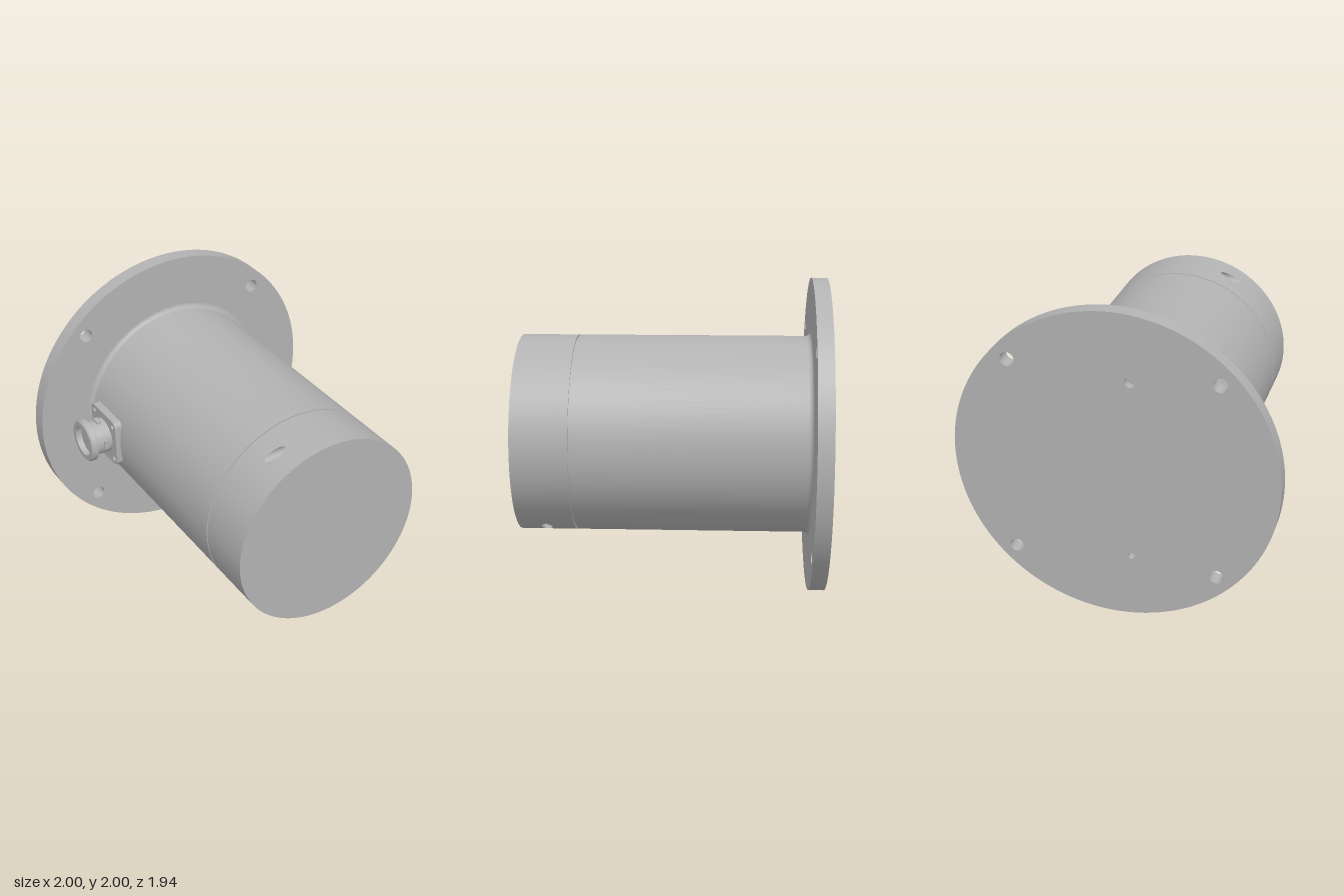
import * as THREE from 'three';
import { toCreasedNormals } from 'three/addons/utils/BufferGeometryUtils.js';
import { ParametricGeometry } from 'three/addons/geometries/ParametricGeometry.js';

const R = 0.63; // housing radius
const V = (x, y) => new THREE.Vector2(x, y);

export function createModel() {
  const grey = new THREE.MeshStandardMaterial({ color: 0xb2b2b2 });
  grey.name = 'machined grey';
  const model = new THREE.Group();
  model.name = 'flangedHousing';
  const axis = new THREE.Group(); // main axis runs along z at y = 1
  axis.name = 'housing';
  axis.position.y = 1;
  model.add(axis);

  const add = (parent, name, geometry) => {
    const mesh = new THREE.Mesh(toCreasedNormals(geometry, 0.5), grey);
    mesh.name = name;
    parent.add(mesh);
    return mesh;
  };
  const hole = (x, y, r) => new THREE.Path().absarc(x, y, r, 0, Math.PI * 2, true);

  // Mounting flange: two layers, so the pin holes stay blind
  const boltHoles = [-1, 1].flatMap(i => [-1, 1].map(j => hole(0.633 * i, 0.633 * j, 0.044)));
  const pinHoles = [hole(-0.108, 0.58, 0.032), hole(-0.108, -0.58, 0.023)];
  const disc = (name, z, depth, holes) => {
    const shape = new THREE.Shape().absarc(0, 0, 1, 0, Math.PI * 2, false);
    shape.holes = holes;
    const g = new THREE.ExtrudeGeometry(shape, { depth, bevelEnabled: false, curveSegments: 64 });
    add(axis, name, g.translate(0, 0, z));
  };
  disc('flangeFront', -0.92, 0.05, boltHoles);
  disc('flangeBack', -0.97, 0.05, [...boltHoles, ...pinHoles]);

  // Body tube with a fillet at the flange and a thin groove before the cap
  const profile = [];
  for (let i = 0; i <= 5; i++) {
    const a = (i / 5) * Math.PI / 2;
    profile.push(V(R + 0.03 * (1 - Math.sin(a)), -0.84 - 0.03 * Math.cos(a)));
  }
  profile.push(V(R, 0.602), V(R - 0.012, 0.602), V(R - 0.012, 0.612), V(R, 0.612));
  add(axis, 'body', new THREE.LatheGeometry(profile, 96).rotateX(Math.PI / 2));

  // End cap: two halves, each a plain wall and a patch with a sideways drilled hole
  const z0 = 0.612, z1 = 0.97, mid = -1.1, half = 0.28;
  const drilledPatch = (u, v, target) => {
    const t = -u * Math.PI * 2, c = Math.cos(t), s = Math.sin(t);
    const row = Math.round(v * 7);
    const r = row === 0 ? 0 : 0.034;
    const y = -0.56 + r * c, z = 0.795 + r * s;
    if (row < 2) return target.set(0.16, y, z); // hole floor
    const k = (row - 2) / 5, m = Math.max(Math.abs(c), Math.abs(s));
    const angle = THREE.MathUtils.lerp(Math.asin(y / R), mid + half * c / m, k);
    const edge = (z0 + z1) / 2 + (z1 - z0) / 2 * s / m;
    target.set(R * Math.cos(angle), R * Math.sin(angle), THREE.MathUtils.lerp(z, edge, k));
  };
  for (const turn of [0, Math.PI]) {
    const side = new THREE.Group();
    side.name = turn ? 'capUpperHalf' : 'capLowerHalf';
    side.rotation.z = turn;
    axis.add(side);
    add(side, 'capWall', new THREE.LatheGeometry([V(R, z0), V(R, z1)], 48,
      mid + half + Math.PI / 2, Math.PI - 2 * half).rotateX(Math.PI / 2));
    add(side, 'capDrilledPatch', new ParametricGeometry(drilledPatch, 64, 7));
  }
  add(axis, 'capFace', new THREE.CircleGeometry(R, 96).translate(0, 0, z1));

  // Side connector, pointing along -x
  const connector = new THREE.Group();
  connector.name = 'connector';
  connector.position.set(0, 0.01, -0.645);
  axis.add(connector);

  // Square mounting plate with rounded corners and screw holes
  const h = 0.165, c = 0.04, plate = new THREE.Shape();
  [[1, 1, 0], [-1, 1, 1], [-1, -1, 2], [1, -1, 3]].forEach(([i, j, q]) =>
    plate.absarc(i * (h - c), j * (h - c), c, q * Math.PI / 2, (q + 1) * Math.PI / 2, false));
  for (const i of [-1, 1]) for (const j of [-1, 1]) plate.holes.push(hole(i * 0.124, j * 0.124, 0.018));
  const plateGeo = new THREE.ExtrudeGeometry(plate, { depth: 0.05, bevelEnabled: false, curveSegments: 8 });
  add(connector, 'connectorPlate', plateGeo.rotateY(-Math.PI / 2).translate(-0.612, 0, 0));

  // Barrel with end collar and shallow socket
  const barrel = [V(0.115, 0.6), V(0.115, 0.765), V(0.127, 0.77), V(0.142, 0.776), V(0.142, 0.81),
    V(0.132, 0.82), V(0.1, 0.82), V(0.1, 0.78), V(0, 0.78)];
  add(connector, 'connectorBarrel', new THREE.LatheGeometry(barrel, 40).rotateZ(Math.PI / 2));

  // Keys around the barrel
  for (let i = 0; i < 4; i++) {
    const key = add(connector, 'connectorKey', new THREE.BoxGeometry(0.028, 0.06, 0.02).translate(-0.708, 0, 0.115));
    key.rotation.x = i * Math.PI / 2;
  }
  return model;
}
